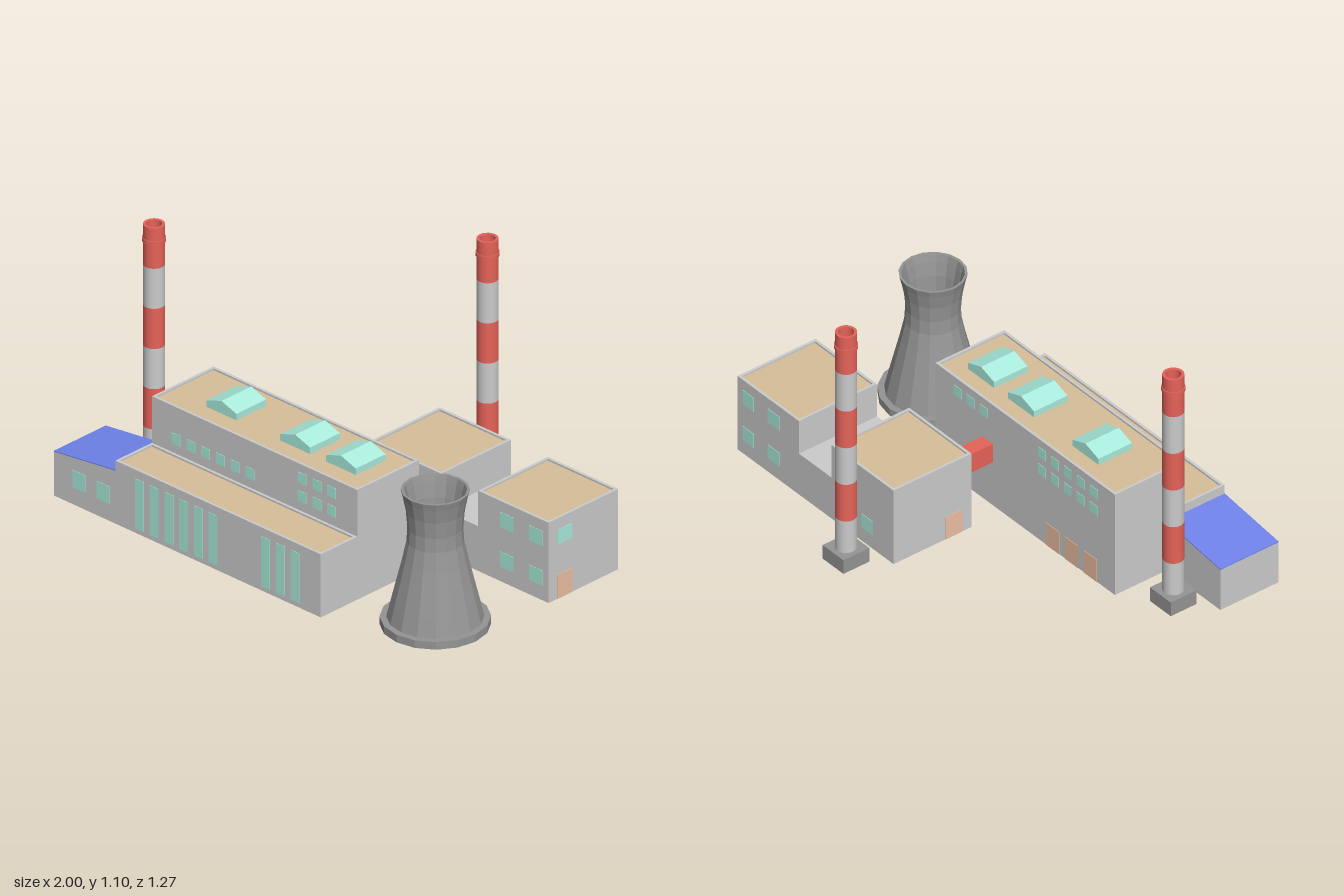
import * as THREE from 'three';

const mat = (color, opts = {}) => new THREE.MeshStandardMaterial({ color, ...opts });
const M = {
  wall: mat(0xcccccc),
  dark: mat(0x959595),
  tower: mat(0x959595, { flatShading: true, side: THREE.DoubleSide }),
  red: mat(0xe66359),
  blue: mat(0x7084ec),
  roof: mat(0xd8bf99),
  glass: mat(0xaaecdd),
  door: mat(0xedbfa3),
};
const FLOOR = 0.005;

function add(parent, name, geometry, material, x = 0, y = 0, z = 0) {
  const mesh = new THREE.Mesh(geometry, material);
  mesh.name = name;
  mesh.position.set(x, y, z);
  parent.add(mesh);
  return mesh;
}

// Box given by its minimum and maximum on each axis
function box(parent, name, material, x0, x1, y0, y1, z0, z1) {
  return add(parent, name, new THREE.BoxGeometry(x1 - x0, y1 - y0, z1 - z0), material,
    (x0 + x1) / 2, (y0 + y1) / 2, (z0 + z1) / 2);
}

function subGroup(parent, name) {
  const g = new THREE.Group();
  g.name = name;
  parent.add(g);
  return g;
}

function rectPath(path, x0, x1, y0, y1) {
  path.moveTo(x0, y0);
  path.lineTo(x1, y0);
  path.lineTo(x1, y1);
  path.lineTo(x0, y1);
  path.closePath();
  return path;
}

// Block with a sunken tan roof inside a thin parapet
function parapetBlock(parent, name, x0, x1, top, z0, z1) {
  const g = subGroup(parent, name);
  const rim = 0.012, depth = 0.01;
  box(g, 'walls', M.wall, x0, x1, FLOOR, top - depth, z0, z1);
  const shape = rectPath(new THREE.Shape(), x0, x1, -z1, -z0);
  shape.holes.push(rectPath(new THREE.Path(), x0 + rim, x1 - rim, -z1 + rim, -z0 - rim));
  const frame = new THREE.ExtrudeGeometry(shape, { depth, bevelEnabled: false });
  frame.rotateX(-Math.PI / 2);
  add(g, 'parapet', frame, M.wall, 0, top - depth, 0);
  box(g, 'roof', M.roof, x0 + rim, x1 - rim, top - depth, top - depth + 0.002, z0 + rim, z1 - rim);
  return g;
}

// Row of thin panels on a wall that faces +z or -z
function panelRow(parent, name, material, xs, y0, y1, z, width) {
  const g = subGroup(parent, name + 'Row');
  for (const x of xs) box(g, name, material, x - width / 2, x + width / 2, y0, y1, z - 0.002, z + 0.002);
}

// Outline in x and y, extruded from z0 to z1
function prism(parent, name, material, points, z0, z1) {
  const shape = new THREE.Shape(points.map(([x, y]) => new THREE.Vector2(x, y)));
  const geo = new THREE.ExtrudeGeometry(shape, { depth: z1 - z0, bevelEnabled: false });
  return add(parent, name, geo, material, 0, 0, z0);
}

function lathe(profile, sides) {
  return new THREE.LatheGeometry(profile.map(([r, y]) => new THREE.Vector2(r, y)), sides);
}

function chimney(parent, x, z) {
  const g = subGroup(parent, 'chimney');
  g.position.set(x, 0, z);
  box(g, 'chimneyBase', M.dark, -0.064, 0.064, FLOOR, 0.07, -0.064, 0.064);
  // Alternating bands
  const levels = [0.07, 0.22, 0.395, 0.57, 0.745, 0.92];
  const r = 0.043;
  for (let i = 0; i < levels.length - 1; i++) {
    const h = levels[i + 1] - levels[i];
    add(g, 'chimneyBand', new THREE.CylinderGeometry(r, r, h, 20, 1, true),
      i % 2 ? M.red : M.wall, 0, levels[i] + h / 2, 0);
  }
  // Hollow mouth: outer wall, lip, inner wall, floor
  add(g, 'chimneyOuterTop', new THREE.CylinderGeometry(r, r, 0.175, 20, 1, true), M.red, 0, 1.0075, 0);
  add(g, 'chimneyLip', lathe([[r, 1.095], [0.031, 1.095]], 20), M.red);
  add(g, 'chimneyFlue', lathe([[0.031, 1.095], [0.031, 1.03]], 20), M.red);
  add(g, 'chimneyFlueFloor', lathe([[0.031, 1.03], [0, 1.03]], 20), M.red);
  add(g, 'chimneyCollar', new THREE.CylinderGeometry(0.047, 0.047, 0.016, 20), M.red, 0, 1.03, 0);
}

function skylight(parent, x) {
  const w = 0.08, y = 0.47;
  prism(parent, 'skylight', M.glass,
    [[x - w, y], [x + w, y], [x + w, 0.503], [x, 0.53], [x - w, 0.503]], 0.17, 0.335);
}

function coolingTower(parent, x, z) {
  const g = subGroup(parent, 'coolingTower');
  g.position.set(x, 0, z);
  add(g, 'towerFoot', new THREE.CylinderGeometry(0.15, 0.15, 0.006, 16), M.dark, 0, 0.003, 0);
  add(g, 'towerPlinth', new THREE.CylinderGeometry(0.215, 0.215, 0.033, 16), M.tower, 0, 0.0215, 0);
  // Waisted shell, outside then back down the inside
  const outer = [[0.189, 0.038], [0.172, 0.11], [0.15, 0.2], [0.128, 0.29], [0.111, 0.37],
    [0.108, 0.43], [0.114, 0.5], [0.126, 0.56], [0.134, 0.59]];
  const inner = outer.map(([r, y]) => [r - 0.011, y]).reverse();
  add(g, 'towerShell', lathe([...outer, ...inner], 16), M.tower);
}

export function createModel() {
  const model = new THREE.Group();
  model.name = 'powerPlant';

  // Turbine hall: tall rear block and lower front block
  const hall = subGroup(model, 'turbineHall');
  parapetBlock(hall, 'tallHall', -0.67, 0.43, 0.483, 0.09, 0.43);
  parapetBlock(hall, 'lowHall', -0.67, 0.43, 0.28, 0.43, 0.632);
  const six = [0, 1, 2, 3, 4, 5].map((i) => -0.54 + i * 0.079);
  const three = [0.135, 0.215, 0.293];
  panelRow(hall, 'tallWindow', M.glass, [...six, ...three], 0.025, 0.242, 0.632, 0.046);
  panelRow(hall, 'upperWindow', M.glass, [...six, ...three], 0.32, 0.366, 0.43, 0.046);
  panelRow(hall, 'topWindow', M.glass, three, 0.4, 0.446, 0.43, 0.046);
  panelRow(hall, 'rearWindow', M.glass, six.slice(0, 5), 0.32, 0.366, 0.09, 0.046);
  panelRow(hall, 'rearTopWindow', M.glass, [...six.slice(0, 5), ...three], 0.4, 0.446, 0.09, 0.046);
  panelRow(hall, 'rearDoor', M.door, [-0.52, -0.405, -0.29], FLOOR, 0.11, 0.09, 0.08);
  for (const x of [-0.39, 0.005, 0.25]) skylight(hall, x);

  // Side annex with a sloping blue roof
  const annex = subGroup(model, 'annex');
  prism(annex, 'annexWalls', M.wall,
    [[-1, FLOOR], [-0.67, FLOOR], [-0.67, 0.236], [-1, 0.196]], 0.345, 0.632);
  prism(annex, 'annexRoof', M.blue,
    [[-1, 0.196], [-0.67, 0.236], [-0.67, 0.24], [-1, 0.2]], 0.345, 0.632);
  panelRow(annex, 'annexWindow', M.glass, [-0.865, -0.735], 0.08, 0.155, 0.632, 0.068);

  // Rear offices: two wings joined by a low link
  const office = subGroup(model, 'offices');
  const back = -0.447, front = -0.062;
  parapetBlock(office, 'leftWing', 0.6, 0.977, 0.355, back, front);
  parapetBlock(office, 'rightWing', 0.02, 0.402, 0.355, back, front);
  box(office, 'link', M.wall, 0.402, 0.6, FLOOR, 0.2, back, front);
  for (const z of [back, front]) {
    panelRow(office, 'officeUpperWindow', M.glass, [0.755, 0.91], 0.242, 0.307, z, 0.07);
    panelRow(office, 'officeLowerWindow', M.glass, [0.18, 0.33, 0.755, 0.91], 0.07, 0.135, z, 0.07);
  }
  box(office, 'endWindow', M.glass, 0.975, 0.979, 0.24, 0.305, -0.191, -0.109);
  box(office, 'endDoor', M.door, 0.975, 0.979, FLOOR, 0.11, -0.191, -0.109);
  box(office, 'endDoor', M.door, 0.018, 0.022, FLOOR, 0.11, -0.191, -0.109);

  // Red duct between the hall and the offices
  box(model, 'duct', M.red, 0.078, 0.143, 0.21, 0.297, -0.07, 0.095);

  chimney(model, -0.848, 0.235);
  chimney(model, 0.155, -0.573);
  coolingTower(model, 0.78, 0.36);
  return model;
}
